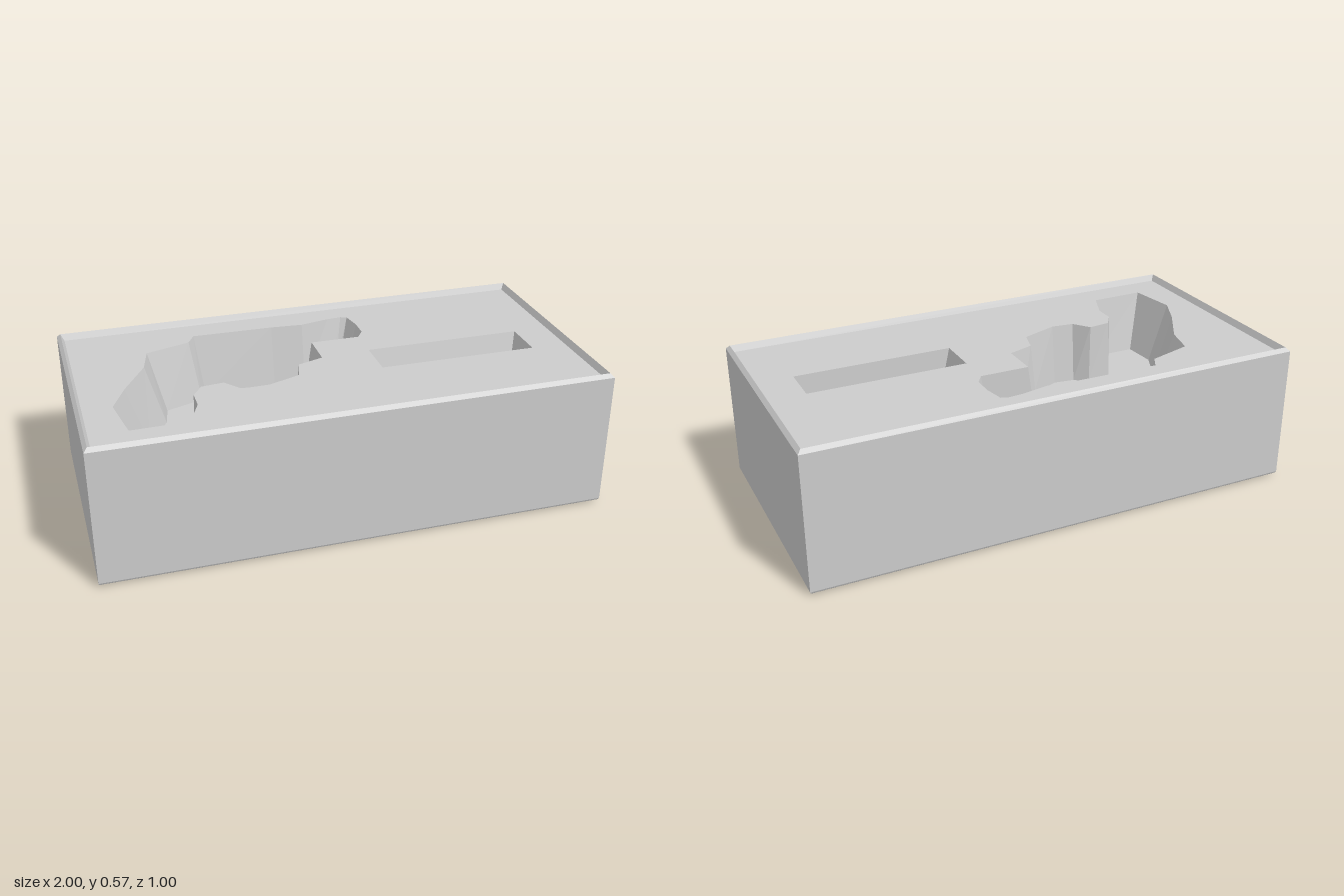
import * as THREE from 'three';

const material = new THREE.MeshStandardMaterial({ color: 0xcccccc, flatShading: true, side: THREE.DoubleSide });

// Outlines are lists of [x, z], counter-clockwise seen from above.
const rect = (x0, x1, z0, z1) => [[x1, z0], [x0, z0], [x0, z1], [x1, z1]];
const centred = (x, z) => rect(-x, x, -z, z);

// Joins successive outlines, each { y, pts }, with a strip of quads.
function loft(rings) {
  const pos = [];
  for (let r = 0; r < rings.length - 1; r++) {
    const a = rings[r], b = rings[r + 1], n = a.pts.length;
    for (let i = 0; i < n; i++) {
      const j = (i + 1) % n;
      const p = (ring, k) => [ring.pts[k][0], ring.y, ring.pts[k][1]];
      pos.push(...p(a, i), ...p(a, j), ...p(b, j), ...p(a, i), ...p(b, j), ...p(b, i));
    }
  }
  const geo = new THREE.BufferGeometry();
  geo.setAttribute('position', new THREE.Float32BufferAttribute(pos, 3));
  geo.computeVertexNormals();
  return geo;
}

// Horizontal face with optional holes.
function plate(pts, y, holes = [], down = false) {
  const v = (list) => list.map(([x, z]) => new THREE.Vector2(x, down ? z : -z));
  const shape = new THREE.Shape(v(pts));
  holes.forEach((h) => shape.holes.push(new THREE.Path(v(h))));
  const geo = new THREE.ShapeGeometry(shape);
  geo.rotateX(down ? Math.PI / 2 : -Math.PI / 2);
  return geo.translate(0, y, 0);
}

export function createModel() {
  const group = new THREE.Group();
  const add = (name, geo) => {
    const mesh = new THREE.Mesh(geo, material);
    mesh.name = name;
    group.add(mesh);
  };
  const panelY = 0.545;

  // Outer block: rounded foot, straight sides, bevelled rim sloping in to the panel
  const profile = [[0.022, 0], [0.011, 0.003], [0.003, 0.009], [0, 0.016],
    [0, 0.555], [0.014, 0.57], [0.027, panelY]];
  const shell = profile.map(([inset, y]) => ({ y, pts: centred(1 - inset, 0.5 - inset) }));
  add('blockSides', loft(shell));
  add('blockBase', plate(shell[0].pts, 0, [], true));

  // Shaped cavity: upper edge and smaller floor outline, matched point by point
  const cavityTop = [[0.18, -0.38], [0.12, -0.375], [0, -0.35], [-0.13, -0.36], [-0.46, -0.365],
    [-0.49, -0.31], [-0.67, -0.255], [-0.7, -0.13], [-0.8, 0.04], [-0.86, 0.17], [-0.83, 0.365],
    [-0.61, 0.36], [-0.56, 0.24], [-0.56, 0.16], [-0.52, 0.1], [-0.43, 0.09], [-0.38, 0.155],
    [-0.29, 0.165], [-0.14, 0.11], [-0.115, 0.02], [-0.01, -0.015], [-0.01, -0.165],
    [0.19, -0.165], [0.22, -0.21], [0.22, -0.29], [0.205, -0.37]];
  const cavityFloor = [[0.14, -0.325], [0.11, -0.32], [0, -0.31], [-0.13, -0.32], [-0.43, -0.315],
    [-0.455, -0.265], [-0.61, -0.21], [-0.63, -0.11], [-0.72, 0.04], [-0.78, 0.17], [-0.77, 0.31],
    [-0.59, 0.31], [-0.565, 0.24], [-0.565, 0.155], [-0.525, 0.085], [-0.425, 0.08], [-0.375, 0.125],
    [-0.29, 0.135], [-0.165, 0.08], [-0.135, 0.005], [-0.05, -0.04], [-0.045, -0.17],
    [0.15, -0.17], [0.16, -0.21], [0.16, -0.27], [0.15, -0.315]];

  // Long slot with a rounded bottom
  const slot = [
    { y: panelY, pts: rect(0.19, 0.83, -0.03, 0.14) },
    { y: 0.46, pts: rect(0.21, 0.815, -0.008, 0.138) },
    { y: 0.435, pts: rect(0.225, 0.81, 0.01, 0.125) },
    { y: 0.425, pts: rect(0.245, 0.805, 0.035, 0.1) },
  ];

  const floorY = 0.3;
  add('topPanel', plate(shell[shell.length - 1].pts, panelY, [cavityTop, slot[0].pts]));
  add('cavityWalls', loft([{ y: panelY, pts: cavityTop }, { y: floorY, pts: cavityFloor }]));
  add('cavityFloor', plate(cavityFloor, floorY));
  add('slotWalls', loft(slot));
  add('slotFloor', plate(slot[3].pts, slot[3].y));
  return group;
}
